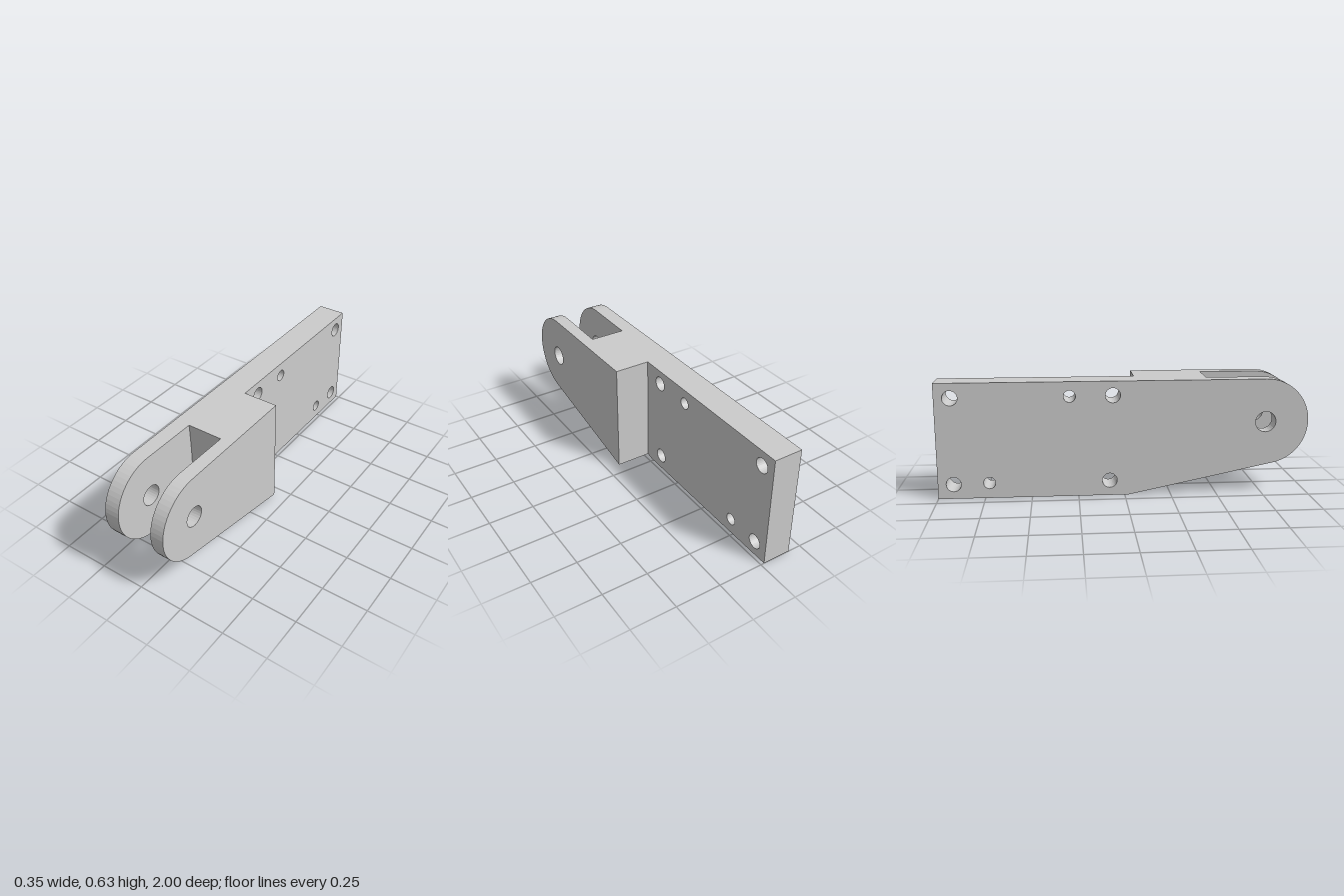
import * as THREE from 'three';

const TOP = 0.627, SIDE = 0.1765, STEP = -0.0195;
const PIN = [0.766, 0.393, 0.056], NOSE = 0.234;
const BEND = 0.02; // z where the underside starts to taper
// taper angle that meets the nose arc tangentially
const SLOPE = Math.atan2(PIN[1], PIN[0] - BEND) - Math.asin(NOSE / Math.hypot(PIN[0] - BEND, PIN[1]));
const BOLTS = [
  [-0.063, 0.55, 0.04], [-0.293, 0.548, 0.032], [-0.916, 0.547, 0.04],
  [-0.081, 0.083, 0.04], [-0.726, 0.083, 0.032], [-0.916, 0.079, 0.04],
];

// slot walls lean slightly with height and depth
const slotRight = (y, z) => -0.09 + 0.013 * (TOP - y) - 0.011 * (z - 0.45);
const slotLeft = (y, z) => slotRight(y, z) + 0.196;
const flat = (x) => () => x;

// side profile in (z, y), running from the back end to the rounded nose or the slot floor
function profile(back, withNose) {
  const under = (z) => Math.max(0, (z - BEND) * Math.tan(SLOPE));
  const pts = [[back, TOP], [back, under(back)]];
  if (back < BEND) pts.push([BEND, 0]);
  if (withNose) {
    const n = 28, a0 = SLOPE - Math.PI / 2;
    for (let i = 0; i <= n; i++) {
      const a = a0 + (Math.PI / 2 - a0) * i / n;
      pts.push([PIN[0] + NOSE * Math.cos(a), PIN[1] + NOSE * Math.sin(a)]);
    }
  } else {
    // gently hollow slot floor
    const n = 6, z0 = 0.463, z1 = 0.449;
    for (let i = 0; i <= n; i++) {
      const t = i / n;
      pts.push([z0 + (z1 - z0) * t - 0.04 * t * (1 - t), under(z0) + (TOP - under(z0)) * t]);
    }
  }
  return pts;
}

// one layer of the body between two x surfaces
function layer(name, pts, holes, x0, x1) {
  const shape = new THREE.Shape(pts.map(([z, y]) => new THREE.Vector2(-z, y)));
  // the outline runs clockwise, so the holes run counterclockwise
  for (const [z, y, r] of holes) {
    shape.holes.push(new THREE.Path().absarc(-z, y, r, 0, Math.PI * 2, false));
  }
  const geo = new THREE.ExtrudeGeometry(shape, { depth: 1, bevelEnabled: false, curveSegments: 14 });
  const p = geo.attributes.position;
  for (let i = 0; i < p.count; i++) {
    const z = -p.getX(i), y = p.getY(i), t = p.getZ(i);
    p.setXYZ(i, THREE.MathUtils.lerp(x0(y, z), x1(y, z), t), y, z);
  }
  geo.computeVertexNormals();
  const mesh = new THREE.Mesh(geo, new THREE.MeshStandardMaterial({ color: 0xcccccc, flatShading: true }));
  mesh.name = name;
  return mesh;
}

export function createModel() {
  const group = new THREE.Group();
  group.name = 'clevisBracket';
  group.add(
    // long plate whose nose is the right fork cheek
    layer('rightCheekPlate', profile(-1, true), [PIN, ...BOLTS], flat(-SIDE), slotRight),
    // rest of the plate thickness, ending at the slot floor
    layer('plateInnerHalf', profile(-1, false), BOLTS, slotRight, flat(STEP)),
    // solid block behind the slot
    layer('forkRoot', profile(0.06, false), [], flat(STEP), slotLeft),
    // short left fork cheek
    layer('leftCheek', profile(0.06, true), [PIN], slotLeft, flat(SIDE)),
  );
  return group;
}
